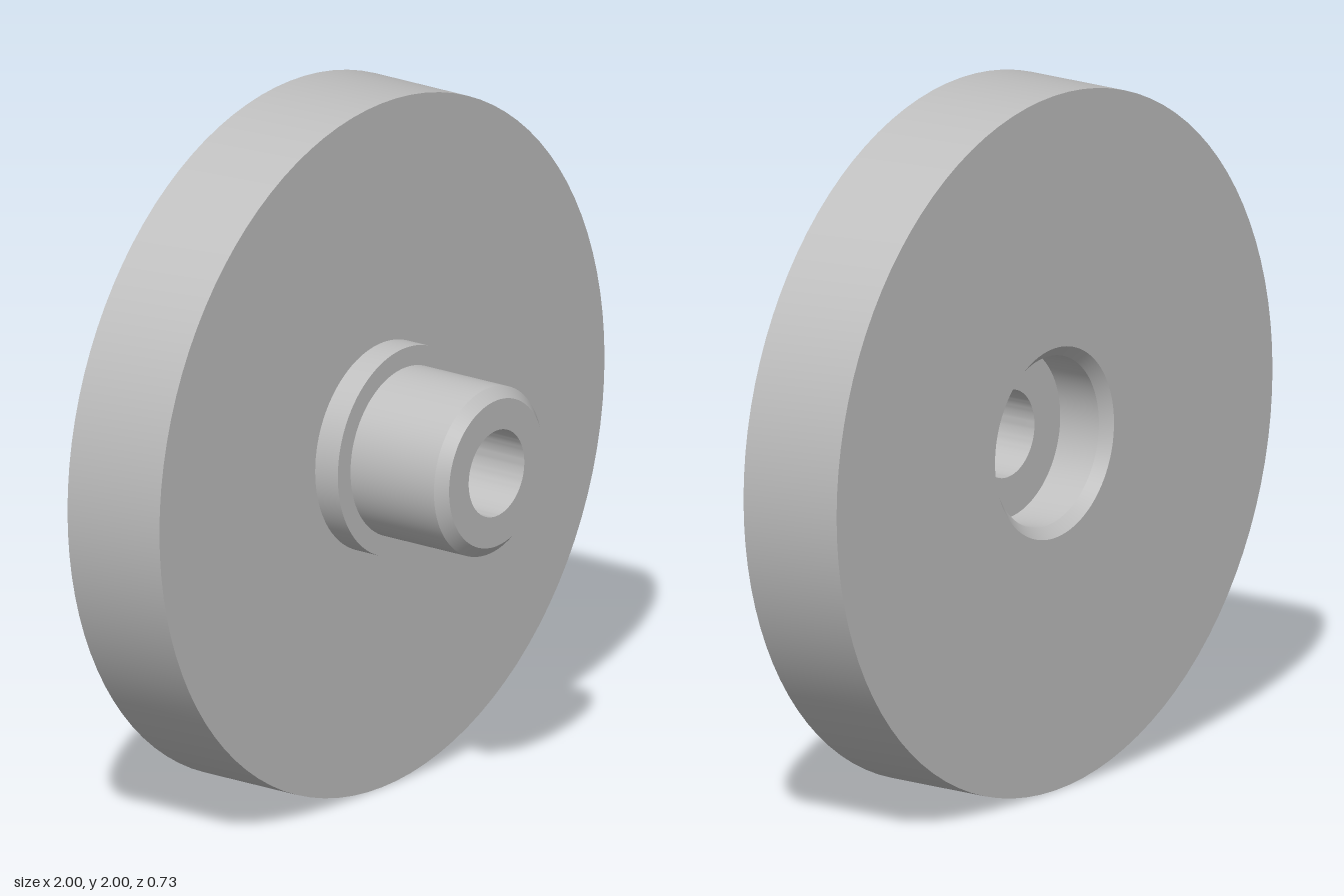
import * as THREE from 'three';
import { toCreasedNormals } from 'three/addons/utils/BufferGeometryUtils.js';

const SEGMENTS = 96;

// Revolve a [radius, z] profile around the z axis, keeping its edges sharp
function turned(name, profile, material) {
  const points = profile.map(([r, z]) => new THREE.Vector2(r, z));
  const geometry = new THREE.LatheGeometry(points, SEGMENTS);
  geometry.rotateX(Math.PI / 2);
  const mesh = new THREE.Mesh(toCreasedNormals(geometry, 0.5), material);
  mesh.name = name;
  mesh.position.y = 1;
  return mesh;
}

export function createModel() {
  const metal = new THREE.MeshStandardMaterial({ color: 0xbfbfbf });
  metal.name = 'plain grey metal';

  const back = -0.365, discFront = -0.04, collarFront = 0.04, tip = 0.365;
  const recessFloor = -0.2, chamfer = 0.03;
  const collarR = 0.3, spigotR = 0.243, boreR = 0.125;

  const group = new THREE.Group();
  group.name = 'flangedWheel';
  group.add(
    // Wide disc: back face, rim and front face
    turned('disc', [[spigotR + chamfer, back], [1, back], [1, discFront], [collarR, discFront]], metal),
    // Shallow step at the foot of the spigot
    turned('collar', [[collarR, discFront], [collarR, collarFront], [spigotR, collarFront]], metal),
    // Spigot with a chamfered tip
    turned('spigot', [[spigotR, collarFront], [spigotR, tip - chamfer],
      [spigotR - chamfer, tip], [boreR, tip]], metal),
    // Through hole
    turned('bore', [[boreR, tip], [boreR, recessFloor]], metal),
    // Chamfered recess in the back
    turned('backRecess', [[boreR, recessFloor], [spigotR, recessFloor],
      [spigotR, back + chamfer], [spigotR + chamfer, back]], metal)
  );
  return group;
}
